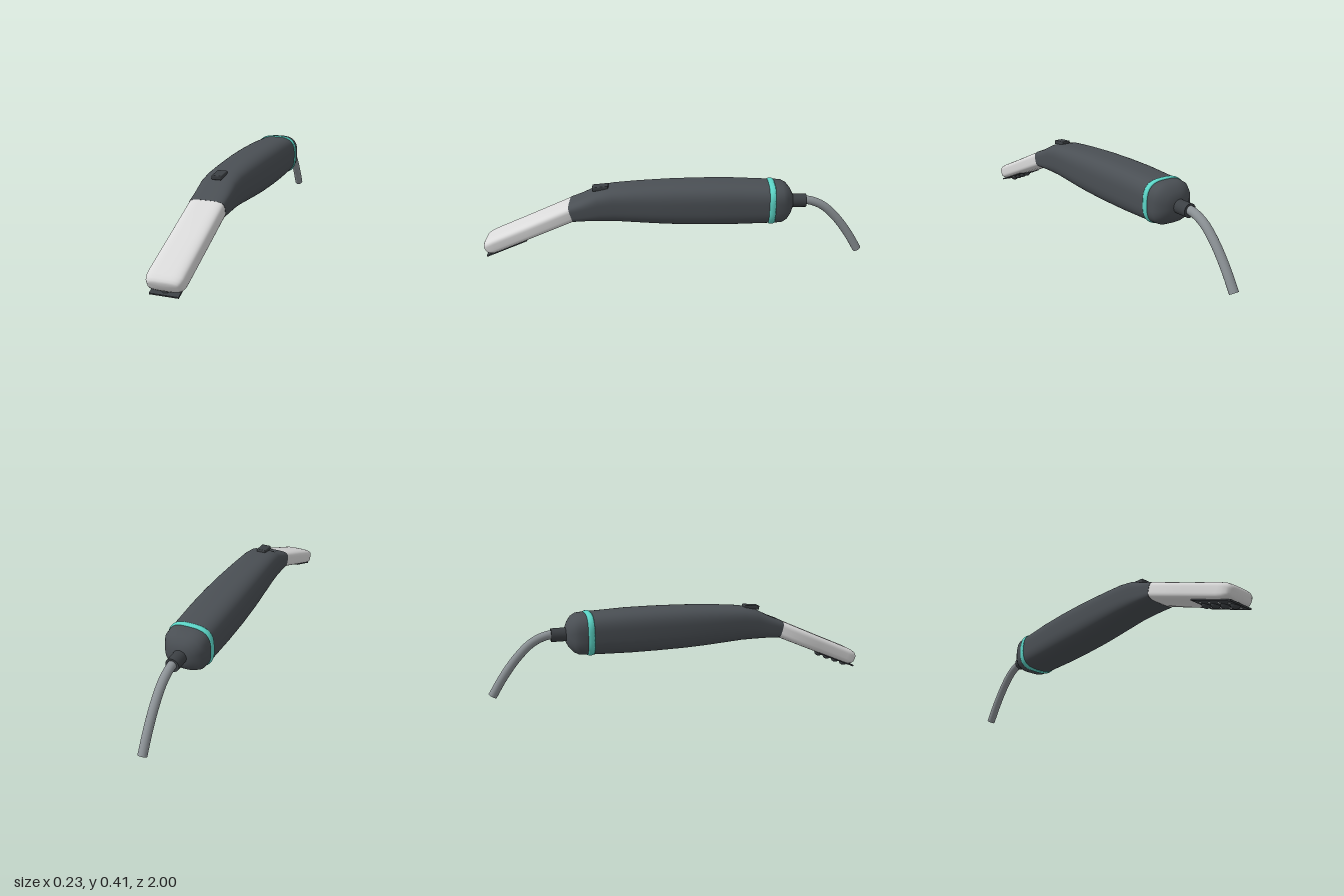
import * as THREE from 'three';
import { RoundedBoxGeometry } from 'three/addons/geometries/RoundedBoxGeometry.js';

const paint = (name, color) => {
  const m = new THREE.MeshStandardMaterial({ color });
  m.name = name;
  return m;
};

// Closed skin over superellipse sections [z, y, halfWidth, halfHeight, tiltDegrees, power], front to back
function loft(sections, sides = 56) {
  const pos = [], index = [];
  const spow = (v, p) => Math.sign(v) * Math.abs(v) ** p;
  for (const [z, y, w, h, tilt, n] of sections) {
    const t = THREE.MathUtils.degToRad(tilt);
    for (let j = 0; j < sides; j++) {
      const a = (j / sides) * Math.PI * 2;
      const up = h * spow(Math.sin(a), 2 / n);
      pos.push(w * spow(Math.cos(a), 2 / n), y + up * Math.cos(t), z + up * Math.sin(t));
    }
  }
  const last = sections.length - 1;
  for (let i = 0; i < last; i++) {
    for (let j = 0; j < sides; j++) {
      const k = (j + 1) % sides;
      const a = i * sides + j, b = i * sides + k;
      index.push(a, a + sides, b, b, a + sides, b + sides);
    }
  }
  // end caps
  const front = pos.length / 3;
  pos.push(0, sections[0][1], sections[0][0], 0, sections[last][1], sections[last][0]);
  for (let j = 0; j < sides; j++) {
    const k = (j + 1) % sides;
    index.push(front, j, k, front + 1, last * sides + k, last * sides + j);
  }
  const g = new THREE.BufferGeometry();
  g.setAttribute('position', new THREE.Float32BufferAttribute(pos, 3));
  g.setIndex(index);
  g.computeVertexNormals();
  return g;
}

export function createModel() {
  const model = new THREE.Group();
  const charcoal = paint('charcoal body', 0x4a4f54);
  const dark = paint('dark trim', 0x3c4044);
  const pale = paint('pale head', 0xdadada);
  const teal = paint('teal ring', 0x5cd6c8);
  const grey = paint('grey cable', 0x8c9296);
  const light = paint('light studs', 0xd0d4d8);

  const add = (name, geometry, material, parent = model) => {
    const mesh = new THREE.Mesh(geometry, material);
    mesh.name = name;
    parent.add(mesh);
    return mesh;
  };

  // Handle with its rounded back end
  add('handle', loft([
    [0.527, 0.2535, 0.088, 0.044, 16, 4],
    [0.5275, 0.2535, 0.09, 0.0465, 16, 4],
    [0.46, 0.268, 0.092, 0.059, 14, 3.8],
    [0.385, 0.2875, 0.095, 0.0785, 8, 3.5],
    [0.31, 0.2955, 0.099, 0.0875, 4, 3.3],
    [0.2, 0.297, 0.105, 0.0965, 2, 3.1],
    [0.1, 0.297, 0.11, 0.103, 1, 3],
    [0, 0.2975, 0.114, 0.1075, 0, 3],
    [-0.15, 0.298, 0.117, 0.11, 0, 3],
    [-0.3, 0.298, 0.116, 0.11, 0, 3],
    [-0.45, 0.297, 0.112, 0.105, 0, 3],
    [-0.52, 0.297, 0.11, 0.103, 0, 3],
    [-0.555, 0.297, 0.107, 0.1, 0, 3],
    [-0.58, 0.297, 0.094, 0.088, 0, 2.8],
    [-0.6, 0.297, 0.069, 0.065, 0, 2.5],
    [-0.613, 0.297, 0.04, 0.04, 0, 2.2],
  ]), charcoal);

  // Coloured band near the back
  add('accentRing', loft([-0.016, -0.01, 0, 0.01, 0.016].map((d) => {
    const bulge = 0.006 * Math.sqrt(1 - (d / 0.0165) ** 2);
    return [-0.5 - d, 0.297, 0.1095 + bulge, 0.1025 + bulge, 0, 3];
  })), teal);

  // Angled head with a rounded tip
  add('head', loft([
    [0.99, 0.052, 0.064, 0.02, 24, 3.4],
    [0.985, 0.054, 0.073, 0.028, 24, 3.6],
    [0.976, 0.058, 0.081, 0.035, 24, 3.8],
    [0.957, 0.066, 0.087, 0.0405, 24, 4],
    [0.93, 0.078, 0.088, 0.042, 24, 4],
    [0.75, 0.156, 0.088, 0.043, 24, 4],
    [0.5275, 0.2535, 0.088, 0.045, 16, 4],
  ]), pale);

  // Slide switch
  const button = add('switchButton', new RoundedBoxGeometry(0.05, 0.022, 0.083, 3, 0.005), dark);
  button.position.set(0, 0.376, 0.377);
  button.rotation.x = 0.1;

  // Plate under the head tip, with studs and domes
  const plate = new THREE.Group();
  plate.name = 'contactPlate';
  plate.position.set(0, 0.0585, 0.875);
  plate.rotation.x = THREE.MathUtils.degToRad(23);
  model.add(plate);
  add('plate', new THREE.BoxGeometry(0.134, 0.008, 0.235), dark, plate);
  for (let row = 0; row < 4; row++) {
    const z = (row - 1.5) * 0.0575;
    for (const side of [-1, 1]) {
      add('stud', new THREE.SphereGeometry(0.009, 16, 10), light, plate).position.set(side * 0.0375, 0, z);
    }
    const dome = add('dome', new THREE.SphereGeometry(0.022, 20, 12), dark, plate);
    dome.scale.y = 0.8;
    dome.position.set(0, -0.003, z);
  }

  // Cable sleeve
  const sleeve = add('cableSleeve', new THREE.CylinderGeometry(0.034, 0.034, 0.08, 32), dark);
  sleeve.rotation.x = Math.PI / 2;
  sleeve.position.set(0, 0.297, -0.645);

  // Drooping cable with a flat end
  const path = new THREE.CatmullRomCurve3([
    [0.298, -0.64], [0.298, -0.7], [0.268, -0.775], [0.2, -0.85], [0.107, -0.922], [0.012, -0.981],
  ].map(([y, z]) => new THREE.Vector3(0, y, z)));
  add('cable', new THREE.TubeGeometry(path, 48, 0.022, 20), grey);
  const end = add('cableEnd', new THREE.CircleGeometry(0.022, 20), grey);
  end.position.copy(path.getPoint(1));
  end.lookAt(path.getPoint(1).add(path.getTangent(1)));

  return model;
}
